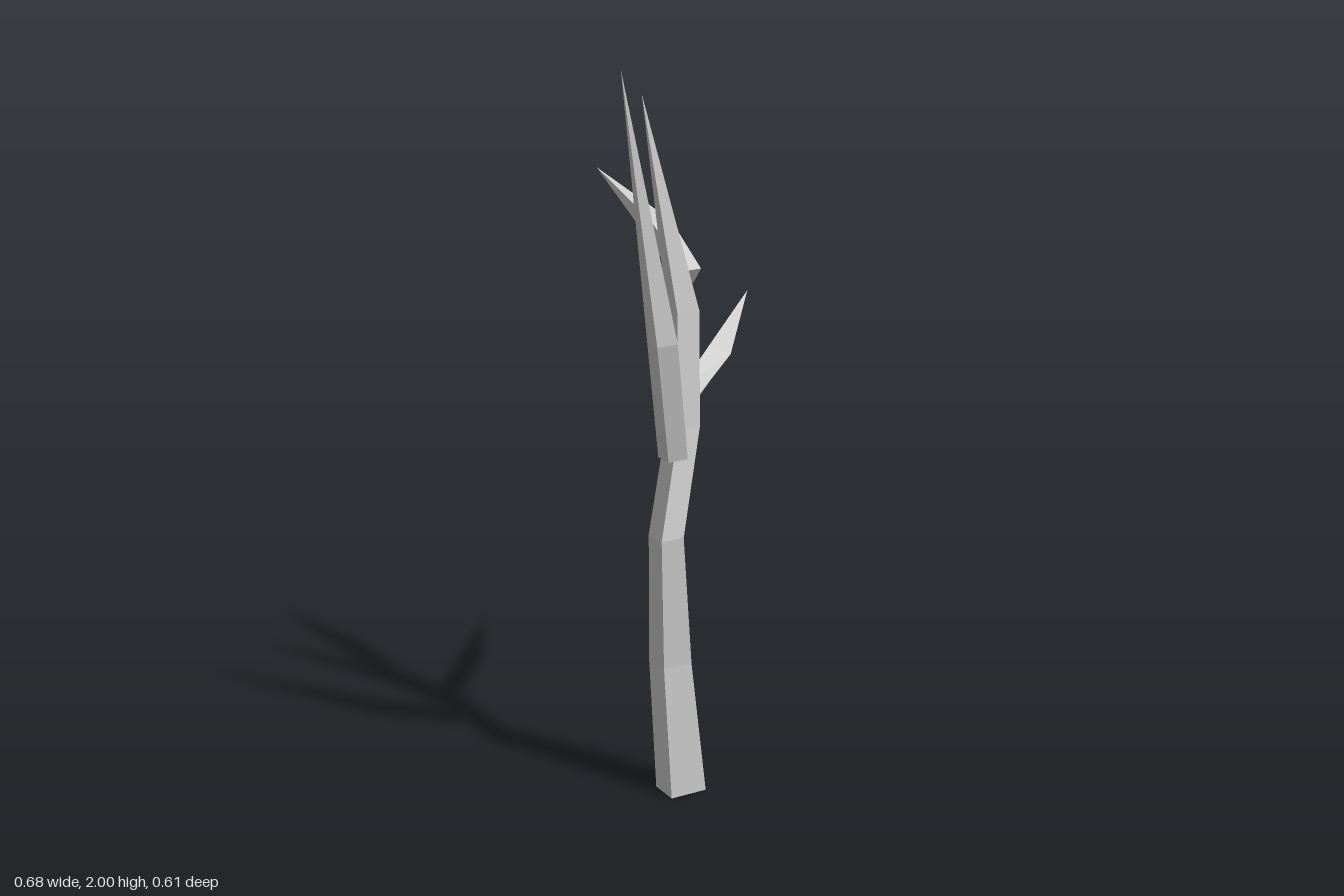
import * as THREE from 'three';

const material = new THREE.MeshStandardMaterial({ color: 0xcccccc, flatShading: true });

// Four-sided limb: rings run counter-clockwise seen from the tip, then close to a point.
function limb(name, rings, tip) {
  const pos = [];
  const tri = (a, b, c) => pos.push(...a, ...b, ...c);
  const base = rings[0];
  tri(base[0], base[2], base[1]);
  tri(base[0], base[3], base[2]);
  rings.forEach((ring, i) => {
    const next = rings[i + 1];
    for (let j = 0; j < 4; j++) {
      const k = (j + 1) % 4;
      if (next) {
        tri(ring[j], ring[k], next[k]);
        tri(ring[j], next[k], next[j]);
      } else {
        tri(ring[j], ring[k], tip);
      }
    }
  });
  const geometry = new THREE.BufferGeometry();
  geometry.setAttribute('position', new THREE.Float32BufferAttribute(pos, 3));
  geometry.computeVertexNormals();
  const mesh = new THREE.Mesh(geometry, material);
  mesh.name = name;
  return mesh;
}

// Level rectangular ring for limbs that grow upward
const level = (y, x0, x1, z0, z1) => [[x0, y, z1], [x1, y, z1], [x1, y, z0], [x0, y, z0]];

export function createModel() {
  const tree = new THREE.Group();
  tree.name = 'bareTree';

  // Crooked trunk tapering to a point
  tree.add(limb('trunk', [
    level(0, -0.115, -0.01, 0.065, 0.148),
    level(0.38, -0.14, -0.057, 0.073, 0.152),
    level(0.75, -0.165, -0.1, 0.118, 0.185),
    level(1.03, -0.097, -0.033, 0.092, 0.152),
    level(1.33, -0.088, -0.024, 0.08, 0.133),
  ], [-0.165, 1.89, 0.092]));

  // Tall branch rising to the front
  tree.add(limb('frontBranch', [
    level(0.96, -0.143, -0.087, 0.13, 0.183),
    level(1.3, -0.228, -0.17, 0.226, 0.276),
  ], [-0.34, 2, 0.305]));

  // Low branch reaching sideways and back
  tree.add(limb('sideBranch', [
    [[-0.05, 1.11, 0.075], [-0.03, 1.09, 0.12], [-0.025, 1.045, 0.08], [-0.05, 1.07, 0.045]],
    [[0.11, 1.182, -0.035], [0.15, 1.155, 0], [0.165, 1.13, -0.05], [0.125, 1.165, -0.06]],
  ], [0.337, 1.25, -0.222]));

  // Upper branch reaching back
  tree.add(limb('backBranch', [
    [[-0.006, 1.432, 0.11], [-0.01, 1.39, 0.08], [-0.05, 1.39, 0.08], [-0.055, 1.432, 0.11]],
    [[-0.006, 1.525, -0.04], [-0.007, 1.485, -0.08], [-0.06, 1.485, -0.08], [-0.065, 1.53, -0.04]],
  ], [-0.078, 1.62, -0.305]));

  return tree;
}
